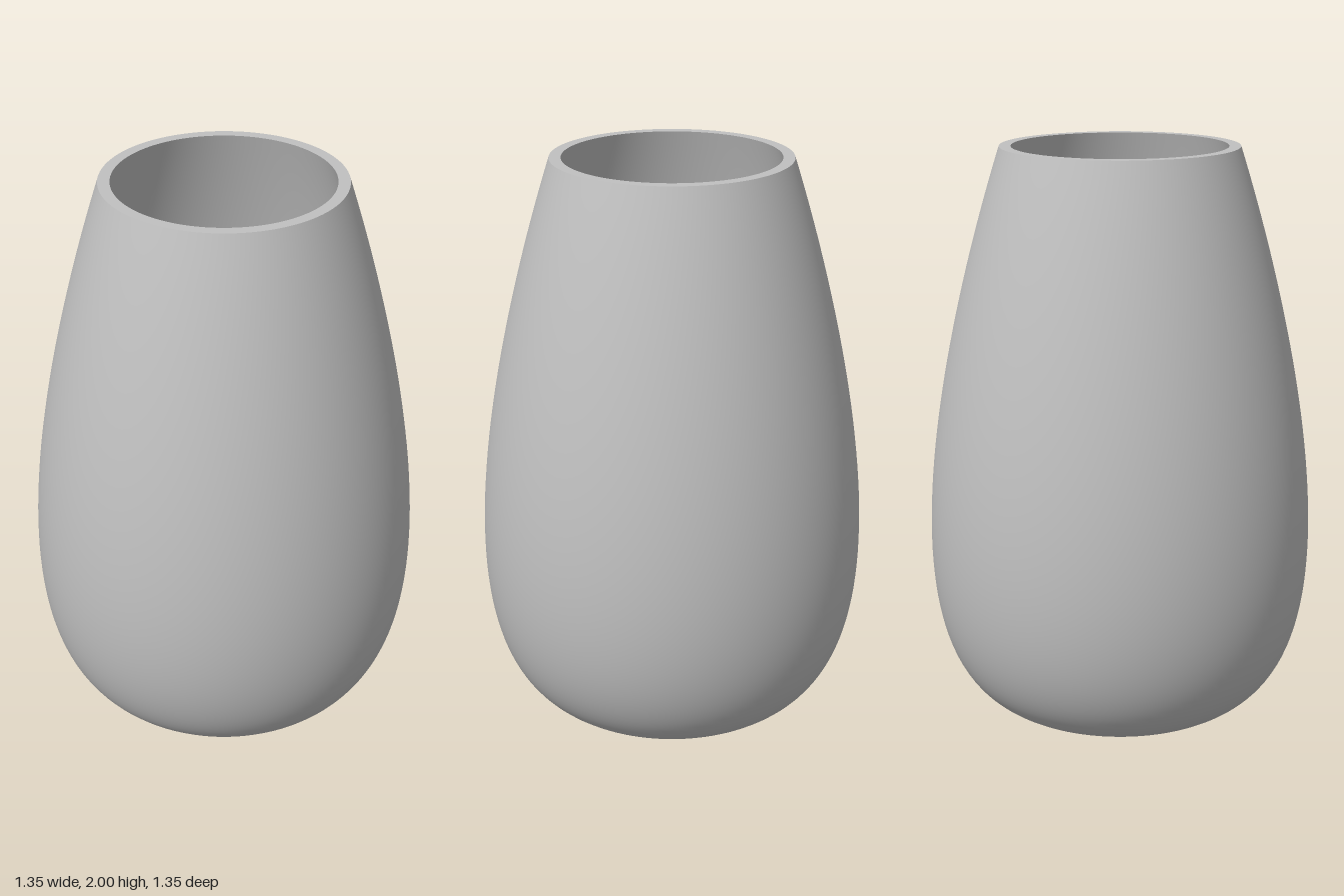
import * as THREE from 'three';

const v = (x, y) => new THREE.Vector2(x, y);

export function createModel() {
  const group = new THREE.Group();
  group.name = 'vase';
  const ceramic = new THREE.MeshStandardMaterial({ color: 0xc0c0c0 });
  ceramic.name = 'grey ceramic';

  // Each surface is its own lathe, so the edges between them stay sharp
  const addLathe = (name, points) => {
    const mesh = new THREE.Mesh(new THREE.LatheGeometry(points, 128), ceramic);
    mesh.name = name;
    group.add(mesh);
  };

  // Wall profiles, bottom to top
  const outer = new THREE.CubicBezierCurve(v(0.41, 0), v(0.85, 0.15), v(0.67, 1.2), v(0.41, 2));
  const inner = new THREE.CubicBezierCurve(v(0.4, 0.04), v(0.8, 0.19), v(0.63, 1.2), v(0.37, 2));

  // The profile runs up the outside, over the rim and down the inside
  addLathe('base', [v(0, 0), v(0.41, 0)]);
  addLathe('outerWall', outer.getPoints(48));
  addLathe('rim', [v(0.41, 2), v(0.37, 2)]);
  addLathe('innerWall', inner.getPoints(48).reverse());
  addLathe('innerFloor', [v(0.4, 0.04), v(0, 0.04)]);

  return group;
}
